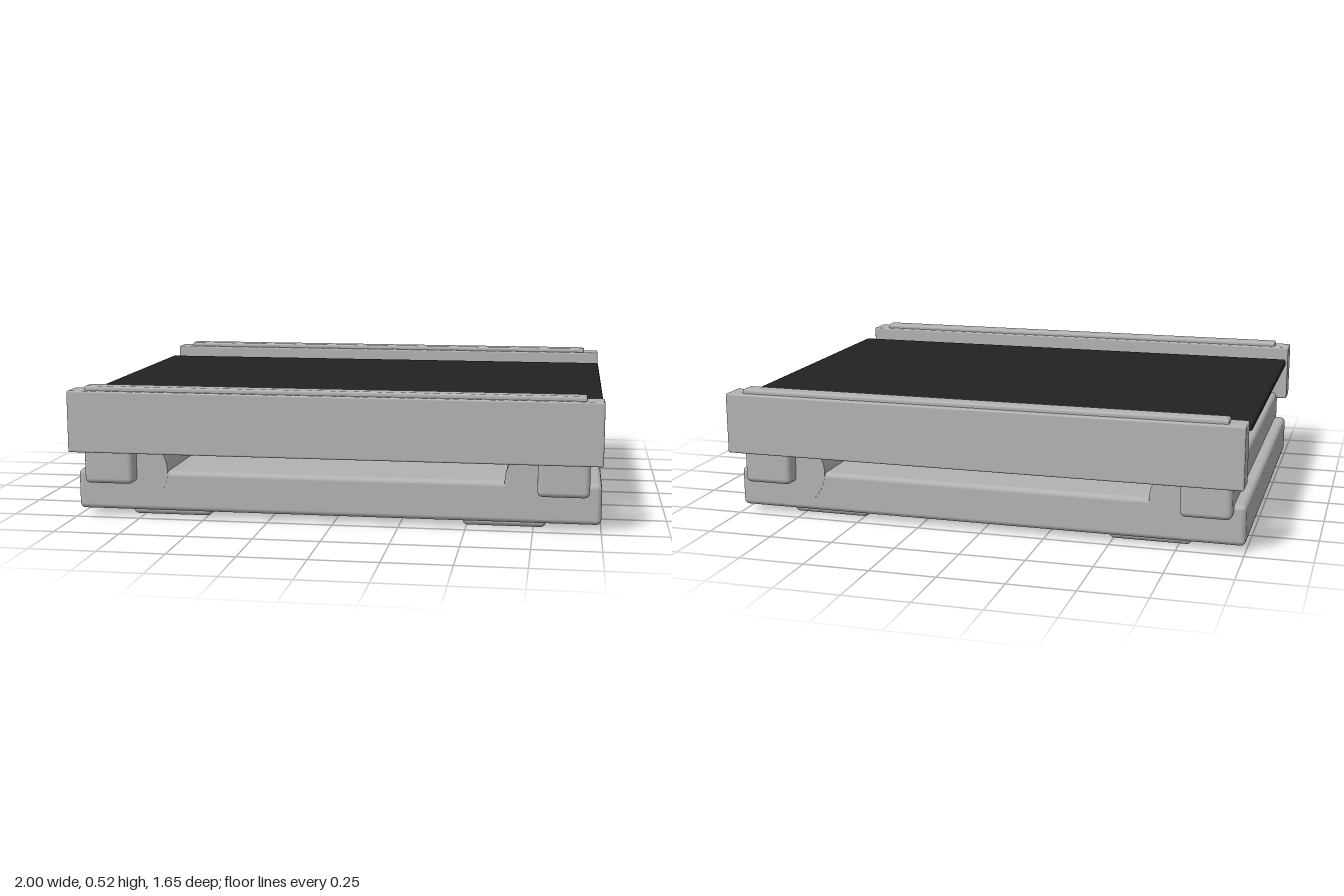
import * as THREE from 'three';
import { RoundedBoxGeometry } from 'three/addons/geometries/RoundedBoxGeometry.js';

export function createModel() {
  const model = new THREE.Group();
  model.name = 'platform';
  const grey = new THREE.MeshStandardMaterial({ color: 0xb2b2b2 });
  grey.name = 'light grey';
  const black = new THREE.MeshStandardMaterial({ color: 0x222222 });
  black.name = 'soft black';

  // Rounded box given by its extents on each axis
  function block(name, [x0, x1], [y0, y1], [z0, z1], radius, material = grey) {
    const geometry = new RoundedBoxGeometry(x1 - x0, y1 - y0, z1 - z0, 3, radius);
    const mesh = new THREE.Mesh(geometry, material);
    mesh.position.set((x0 + x1) / 2, (y0 + y1) / 2, (z0 + z1) / 2);
    mesh.name = name;
    model.add(mesh);
  }
  const span = (side, a, b) => (side > 0 ? [a, b] : [-b, -a]);

  // Base slab and floating dark deck
  block('base', [-1, 1], [0.025, 0.18], [-0.72, 0.72], 0.02);
  block('deck', [-1, 1], [0.435, 0.466], [-0.62, 0.62], 0.008, black);

  // Front and back rails, each with a raised strip on top
  for (const s of [1, -1]) {
    block('rail', [-1, 1], [0.265, 0.5], span(s, 0.72, 0.825), 0.007);
    block('railStrip', [-0.937, 0.937], [0.48, 0.517], span(s, 0.737, 0.804), 0.009);
  }

  for (const s of [1, -1]) {
    // Cross beam carrying the rails
    block('crossBeam', span(s, 0.765, 0.955), [0.137, 0.29], [-0.78, 0.78], 0.02);

    // Round roller running along the beam
    const roller = new THREE.Mesh(new THREE.CylinderGeometry(0.14, 0.14, 1.442, 40), grey);
    roller.rotation.x = Math.PI / 2;
    roller.position.set(s * 0.783, 0.181, 0);
    roller.name = 'roller';
    model.add(roller);

    // Feet
    for (const t of [1, -1]) {
      block('foot', span(s, 0.485, 0.797), [0, 0.06], span(t, 0.445, 0.68), 0.02);
    }
  }
  return model;
}
